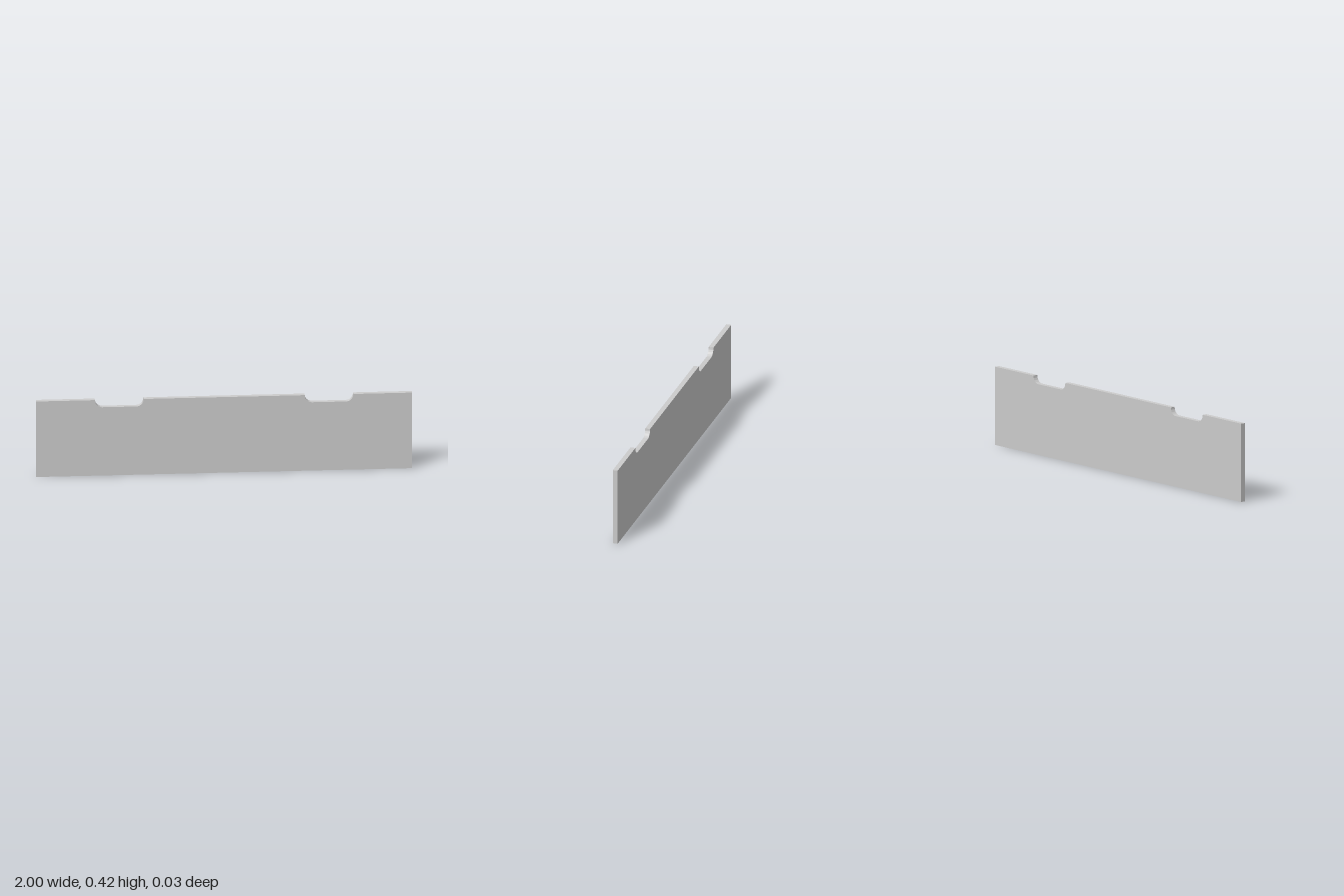
import * as THREE from 'three';
import { toCreasedNormals } from 'three/addons/utils/BufferGeometryUtils.js';

const HEIGHT = 0.424, THICKNESS = 0.027;
const NOTCH = { centre: 0.558, half: 0.129, depth: 0.041, radius: 0.039 };

// Cuts a round-cornered notch into the top edge, travelling from +x to -x
function addNotch(shape, cx) {
  const { half, depth, radius: r } = NOTCH;
  const floor = HEIGHT - depth;
  shape.lineTo(cx + half, HEIGHT);
  shape.lineTo(cx + half, floor + r);
  shape.absarc(cx + half - r, floor + r, r, 0, -Math.PI / 2, true);
  shape.lineTo(cx - half + r, floor);
  shape.absarc(cx - half + r, floor + r, r, -Math.PI / 2, -Math.PI, true);
  shape.lineTo(cx - half, HEIGHT);
}

export function createModel() {
  const group = new THREE.Group();
  group.name = 'notchedBoard';

  // Board outline, counter-clockwise
  const outline = new THREE.Shape();
  outline.moveTo(-1, 0);
  outline.lineTo(1, 0);
  outline.lineTo(1, HEIGHT);
  for (const side of [1, -1]) addNotch(outline, side * NOTCH.centre);
  outline.lineTo(-1, HEIGHT);
  outline.closePath();

  const geometry = new THREE.ExtrudeGeometry(outline, {
    depth: THICKNESS, bevelEnabled: false, curveSegments: 12,
  });
  geometry.translate(0, 0, -THICKNESS / 2);

  const board = new THREE.Mesh(
    toCreasedNormals(geometry, Math.PI / 6),
    new THREE.MeshStandardMaterial({ color: 0xcccccc }),
  );
  board.name = 'board';
  group.add(board);
  return group;
}
